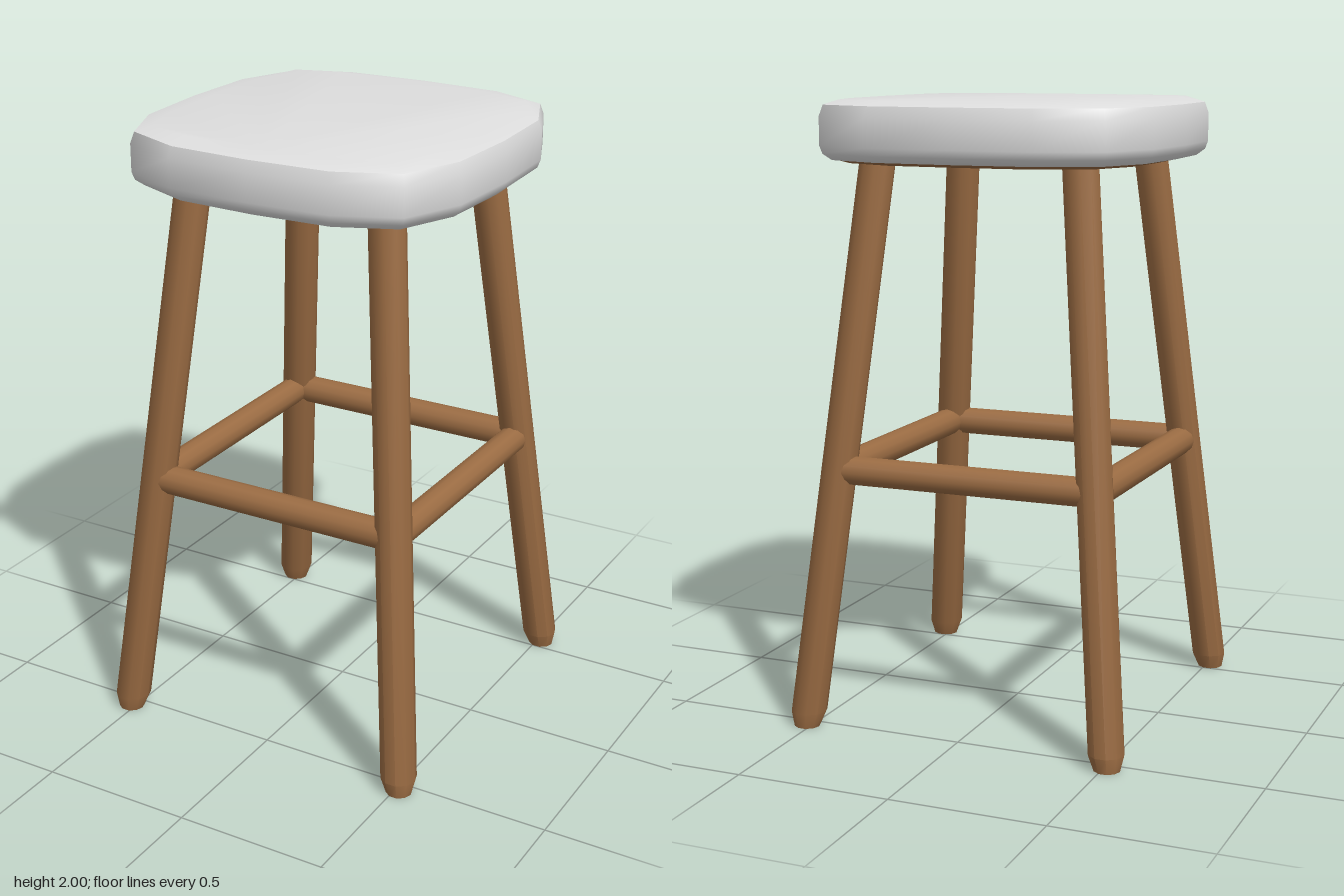
import * as THREE from 'three';
import { toCreasedNormals } from 'three/addons/utils/BufferGeometryUtils.js';

const wood = new THREE.MeshStandardMaterial({ name: 'wood', color: 0x9b6c43 });
const cushion = new THREE.MeshStandardMaterial({ name: 'cushion', color: 0xdfdfdf });

// Skin a stack of horizontal rings (bottom to top) and close both ends.
function loft(rings, crease) {
  const n = rings[0].length, pos = [], index = [];
  rings.forEach(r => r.forEach(p => pos.push(...p)));
  for (let k = 0; k < rings.length - 1; k++) {
    for (let i = 0; i < n; i++) {
      const a = k * n + i, b = k * n + (i + 1) % n;
      index.push(a, b, b + n, a, b + n, a + n);
    }
  }
  const last = (rings.length - 1) * n;
  for (let i = 1; i < n - 1; i++) {
    index.push(0, i + 1, i);
    index.push(last, last + i, last + i + 1);
  }
  const g = new THREE.BufferGeometry();
  g.setAttribute('position', new THREE.Float32BufferAttribute(pos, 3));
  g.setIndex(index);
  return toCreasedNormals(g, crease);
}

// Sixteen-point rounded square: side middle, shoulder (x, z) and corner.
function seatRing(y, mid, sx, sz, corner) {
  const quarter = [[0, mid], [sx, sz], [corner, corner], [sz, sx]];
  const ring = [];
  for (let q = 0; q < 4; q++) {
    for (let [x, z] of quarter) {
      for (let t = 0; t < q; t++) [x, z] = [z, -x];
      ring.push([x, y, z]);
    }
  }
  return ring;
}
const outline = (y, s) => seatRing(y, 0.565 * s, 0.275 * s, 0.552 * s, 0.47 * s);

function circleRing(x, y, z, r, n = 10) {
  return Array.from({ length: n }, (_, i) => {
    const a = (i + 0.5) / n * Math.PI * 2;
    return [x + r * Math.sin(a), y, z + r * Math.cos(a)];
  });
}

export function createModel() {
  const model = new THREE.Group();
  model.name = 'stool';
  const add = (name, geometry, material) => {
    const m = new THREE.Mesh(geometry, material);
    m.name = name;
    model.add(m);
    return m;
  };

  // Padded seat with a gently crowned top
  add('seatCushion', loft([
    outline(1.815, 0.94), outline(1.835, 0.985), outline(1.86, 1), outline(1.95, 1),
    outline(1.985, 0.98), seatRing(2, 0.475, 0.27, 0.465, 0.425),
  ], 0.9), cushion);

  // Wooden underside
  add('seatBase', loft([outline(1.804, 0.85), outline(1.82, 0.945)], 0.5), wood);

  // Splayed legs with chamfered feet
  const legX = y => 0.515 - 0.097 * y;
  const legZ = y => 0.54 - 0.116 * y;
  for (const sx of [1, -1]) {
    for (const sz of [1, -1]) {
      const ring = (y, r) => circleRing(sx * legX(y), y, sz * legZ(y), r);
      add((sz > 0 ? 'front' : 'back') + (sx > 0 ? 'Left' : 'Right') + 'Leg',
        loft([ring(0, 0.042), ring(0.05, 0.058), ring(1.83, 0.058)], 0.7), wood);
    }
  }

  // Stretchers joining neighbouring legs
  const railY = 0.835, x = legX(railY), z = legZ(railY);
  for (const s of [1, -1]) {
    const cross = add(s > 0 ? 'frontStretcher' : 'backStretcher',
      new THREE.CylinderGeometry(0.047, 0.047, 2 * x, 12), wood);
    cross.rotation.z = Math.PI / 2;
    cross.position.set(0, railY, s * z);
    const side = add(s > 0 ? 'leftStretcher' : 'rightStretcher',
      new THREE.CylinderGeometry(0.047, 0.047, 2 * z, 12), wood);
    side.rotation.x = Math.PI / 2;
    side.position.set(s * x, railY, 0);
  }
  return model;
}
